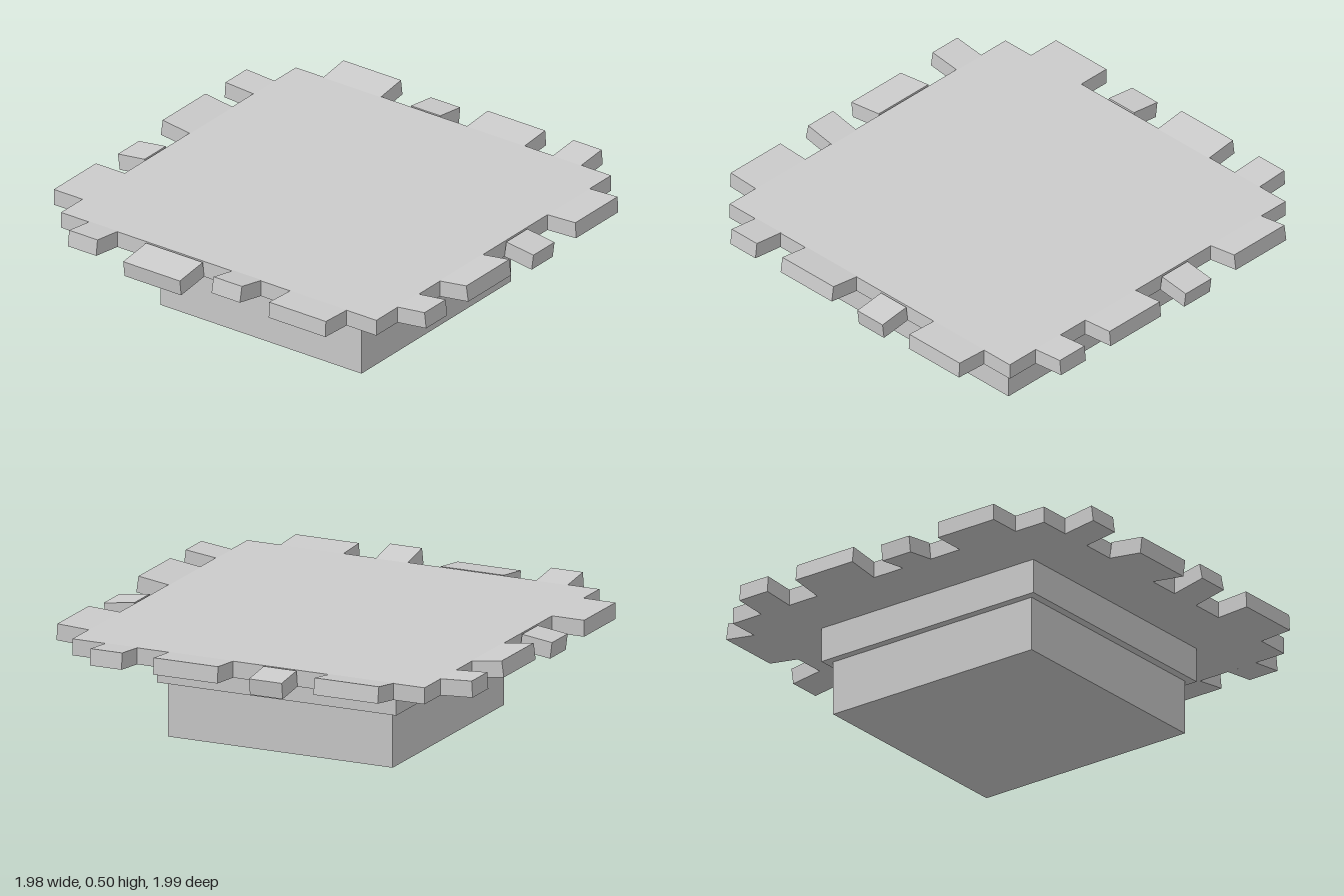
import * as THREE from 'three';

const material = new THREE.MeshStandardMaterial({ color: 0xcccccc, flatShading: true });

// Box given by its extents on each axis
function block(name, [x0, x1], [y0, y1], [z0, z1]) {
  const geometry = new THREE.BoxGeometry(x1 - x0, y1 - y0, z1 - z0);
  geometry.translate((x0 + x1) / 2, (y0 + y1) / 2, (z0 + z1) / 2);
  const mesh = new THREE.Mesh(geometry, material);
  mesh.name = name;
  return mesh;
}

const SLAB_BOTTOM = 0.4;
const THICK = 0.073;

// Each edge: angle it faces, distance from centre, direction of its run
// along the world axis, and stones as [from, to, upward tilt, length]
const edges = [
  { name: 'frontEdge', angle: 0, distance: 0.822, sign: 1, stones: [
    [-0.69, -0.54, 0.13], [-0.38, -0.08, -0.13, 0.165], [0.07, 0.22, 0.2], [0.375, 0.675, 0.05]] },
  { name: 'backEdge', angle: Math.PI, distance: 0.848, sign: -1, stones: [
    [-0.69, -0.385, 0.15], [-0.235, -0.08, -0.13, 0.143], [0.07, 0.375, 0.09], [0.525, 0.675, 0.1]] },
  { name: 'leftEdge', angle: Math.PI / 2, distance: 0.832, sign: -1, stones: [
    [-0.695, -0.395, 0.05], [-0.24, -0.09, -0.13, 0.145], [0.065, 0.37, 0.14], [0.52, 0.67, 0.12]] },
  { name: 'rightEdge', angle: -Math.PI / 2, distance: 0.838, sign: 1, stones: [
    [-0.695, -0.545, 0.06], [-0.395, -0.09, 0.13], [0.065, 0.215, -0.13, 0.143], [0.37, 0.67, 0]] },
];

export function createModel() {
  const model = new THREE.Group();
  model.name = 'steppedPedestal';

  // Stepped base carrying the wide top slab
  model.add(
    block('base', [-0.535, 0.53], [0, 0.245], [-0.543, 0.522]),
    block('middleTier', [-0.57, 0.565], [0.245, SLAB_BOTTOM], [-0.58, 0.558]),
    block('topSlab', [-0.838, 0.832], [SLAB_BOTTOM, SLAB_BOTTOM + THICK], [-0.848, 0.822]),
  );

  // Uneven edge stones, each hinged on the slab's lower edge
  for (const { name, angle, distance, sign, stones } of edges) {
    const edge = new THREE.Group();
    edge.name = name;
    edge.rotation.y = angle;
    for (const [from, to, tilt, length = 0.152] of stones) {
      const half = (to - from) / 2;
      const stone = block('edgeStone', [-half, half], [0, THICK], [0, length]);
      stone.position.set(sign * (from + to) / 2, SLAB_BOTTOM, distance);
      stone.rotation.x = -tilt;
      edge.add(stone);
    }
    model.add(edge);
  }
  return model;
}
